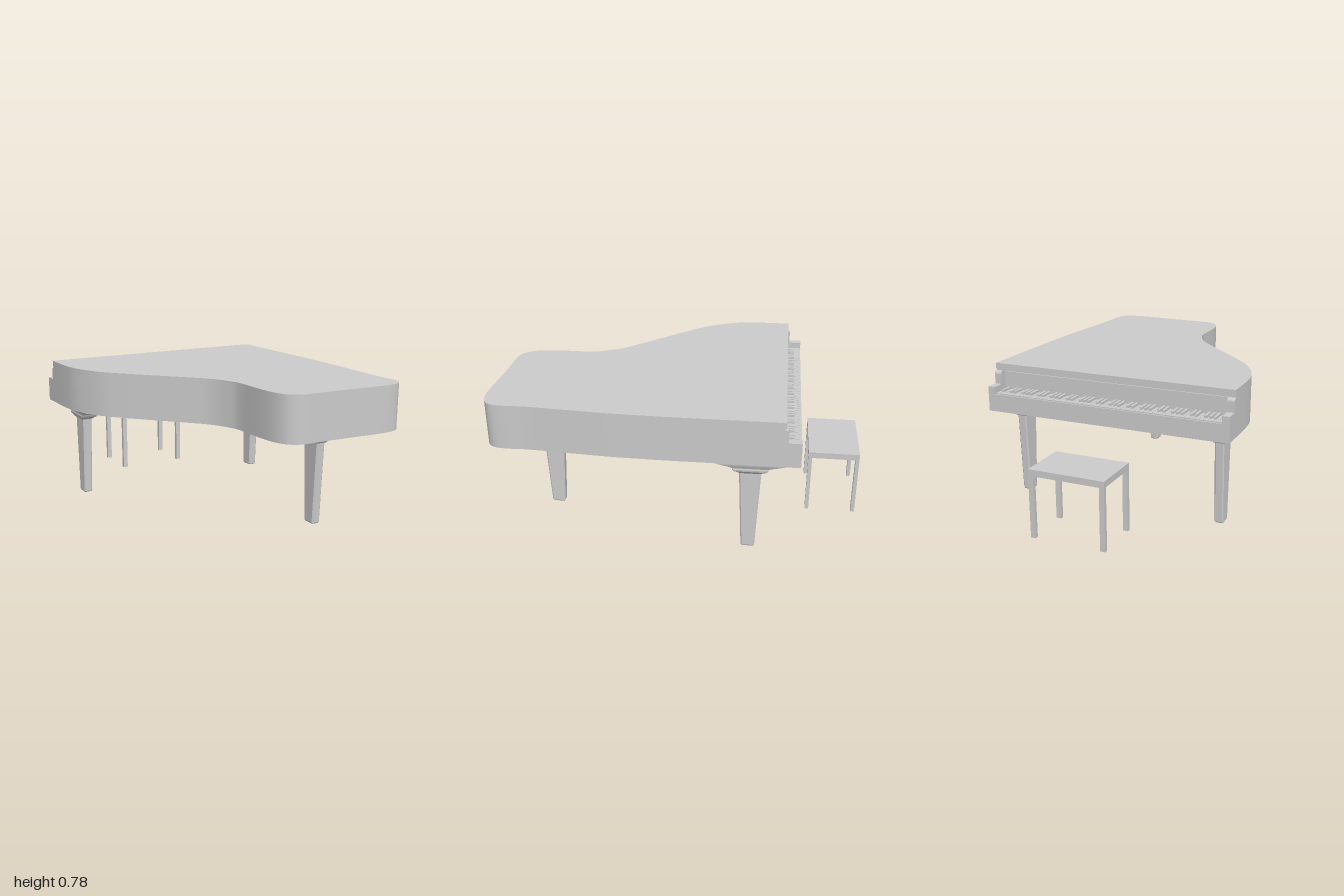
import * as THREE from 'three';
import { toCreasedNormals } from 'three/addons/utils/BufferGeometryUtils.js';

const grey = new THREE.MeshStandardMaterial({ color: 0xcccccc });

function add(parent, name, geometry, x = 0, y = 0, z = 0) {
  const mesh = new THREE.Mesh(geometry, grey);
  mesh.name = name;
  mesh.position.set(x, y, z);
  parent.add(mesh);
  return mesh;
}

// box given by its limits on each axis
function box(parent, name, x0, x1, y0, y1, z0, z1) {
  return add(parent, name, new THREE.BoxGeometry(x1 - x0, y1 - y0, z1 - z0),
    (x0 + x1) / 2, (y0 + y1) / 2, (z0 + z1) / 2);
}

// plan outline of the case: curved side, tail and nearly straight side
function planShape(frontZ) {
  const rim = [
    [-0.69, -0.41], [-0.68, -0.3], [-0.65, -0.2], [-0.59, -0.08], [-0.5, 0.03],
    [-0.4, 0.14], [-0.25, 0.3], [-0.165, 0.4], [-0.115, 0.5], [-0.095, 0.58],
    [-0.092, 0.75], [-0.08, 0.86], [-0.05, 0.93], [0, 0.967], [0.06, 0.977],
    [0.2, 0.98], [0.4, 0.992], [0.52, 0.997], [0.6, 0.985], [0.645, 0.95],
    [0.66, 0.88], [0.658, 0.75], [0.67, 0.55], [0.685, 0.3], [0.69, 0.05],
  ].map(([x, z]) => new THREE.Vector2(x, z));
  const curve = new THREE.SplineCurve(rim);
  return new THREE.Shape([
    new THREE.Vector2(-0.69, frontZ), ...curve.getPoints(120), new THREE.Vector2(0.69, frontZ),
  ]);
}

// horizontal slab of the plan outline
function slab(parent, name, frontZ, y0, y1) {
  const geo = new THREE.ExtrudeGeometry(planShape(frontZ), { depth: y1 - y0, bevelEnabled: false });
  geo.rotateX(Math.PI / 2);
  geo.translate(0, y1, 0);
  return add(parent, name, toCreasedNormals(geo, 0.6));
}

// loft of chamfered rectangles, rings listed upwards as [y, half x, half z]
function loft(rings, chamfer) {
  const pos = [], index = [];
  for (const [y, a, b] of rings) {
    const c = chamfer;
    for (const [x, z] of [[a, b - c], [a - c, b], [c - a, b], [-a, b - c],
      [-a, c - b], [c - a, -b], [a - c, -b], [a, c - b]]) pos.push(x, y, z);
  }
  for (let r = 0; r < rings.length - 1; r++) {
    for (let i = 0; i < 8; i++) {
      const p = r * 8 + i, q = r * 8 + (i + 1) % 8;
      index.push(p, p + 8, q, q, p + 8, q + 8);
    }
  }
  const top = (rings.length - 1) * 8;
  for (let i = 1; i < 7; i++) index.push(0, i, i + 1, top, top + i + 1, top + i);
  const geo = new THREE.BufferGeometry();
  geo.setAttribute('position', new THREE.Float32BufferAttribute(pos, 3));
  geo.setIndex(index);
  return toCreasedNormals(geo, 0.3);
}

function addLeg(parent, name, x, z) {
  const leg = new THREE.Group();
  leg.name = name;
  leg.position.set(x, 0, z);
  // tapered post
  add(leg, 'legPost', loft([[0, 0.022, 0.034], [0.006, 0.025, 0.037], [0.465, 0.026, 0.058]], 0.006));
  // moulded capital flaring out under the case
  add(leg, 'legCapital', loft([
    [0.458, 0.033, 0.06], [0.465, 0.039, 0.066], [0.474, 0.046, 0.085], [0.484, 0.048, 0.092],
    [0.492, 0.046, 0.095], [0.5, 0.049, 0.115], [0.51, 0.054, 0.15], [0.518, 0.056, 0.178],
    [0.535, 0.056, 0.178],
  ], 0.004));
  parent.add(leg);
}

function addKeyboard(parent) {
  const keys = new THREE.Group();
  keys.name = 'keyboard';
  const count = 52, x0 = 0.65, pitch = 1.3 / count;
  const sharpAfter = [true, false, true, true, false, true, true];
  for (let i = 0; i < count; i++) {
    const x = x0 - (i + 0.5) * pitch;
    box(keys, 'whiteKey', x - pitch * 0.46, x + pitch * 0.46, 0.61, 0.635, -0.652, -0.54);
    if (sharpAfter[i % 7] && i < count - 1) {
      const s = x - pitch / 2;
      box(keys, 'blackKey', s - pitch * 0.27, s + pitch * 0.27, 0.63, 0.648, -0.62, -0.54);
    }
  }
  parent.add(keys);
}

export function createModel() {
  const model = new THREE.Group();
  model.name = 'grandPiano';

  // case and lid
  slab(model, 'case', -0.545, 0.533, 0.75);
  slab(model, 'lid', -0.577, 0.75, 0.783);

  // key bed, key slip and fallboard
  box(model, 'keyBed', -0.65, 0.65, 0.533, 0.612, -0.65, -0.54);
  box(model, 'keySlip', -0.65, 0.65, 0.533, 0.63, -0.66, -0.65);
  box(model, 'fallboard', -0.65, 0.65, 0.655, 0.735, -0.553, -0.54);

  // cheeks: stepped side pieces with a rounded shoulder
  const profile = new THREE.Shape();
  profile.moveTo(0.54, 0.533);
  profile.lineTo(0.66, 0.533);
  profile.lineTo(0.66, 0.67);
  profile.lineTo(0.59, 0.67);
  profile.lineTo(0.59, 0.725);
  profile.quadraticCurveTo(0.588, 0.742, 0.57, 0.742);
  profile.lineTo(0.57, 0.75);
  profile.lineTo(0.54, 0.75);
  profile.closePath();
  const cheek = new THREE.ExtrudeGeometry(profile, { depth: 0.04, bevelEnabled: false, curveSegments: 6 });
  cheek.rotateY(Math.PI / 2);
  add(model, 'leftCheek', cheek, 0.65);
  add(model, 'rightCheek', cheek, -0.69);

  addKeyboard(model);

  // three legs
  addLeg(model, 'leftKeyboardLeg', 0.613, -0.405);
  addLeg(model, 'rightKeyboardLeg', -0.572, -0.405);
  addLeg(model, 'tailLeg', 0.291, 0.715);

  // bench
  const bench = new THREE.Group();
  bench.name = 'bench';
  bench.position.set(0.034, 0, -0.858);
  box(bench, 'benchSeat', -0.212, 0.212, 0.343, 0.378, -0.141, 0.141);
  for (const sx of [-1, 1]) {
    for (const sz of [-1, 1]) {
      add(bench, 'benchLeg', new THREE.BoxGeometry(0.028, 0.34, 0.021), sx * 0.198, 0.175, sz * 0.1305);
    }
  }
  model.add(bench);

  return model;
}
